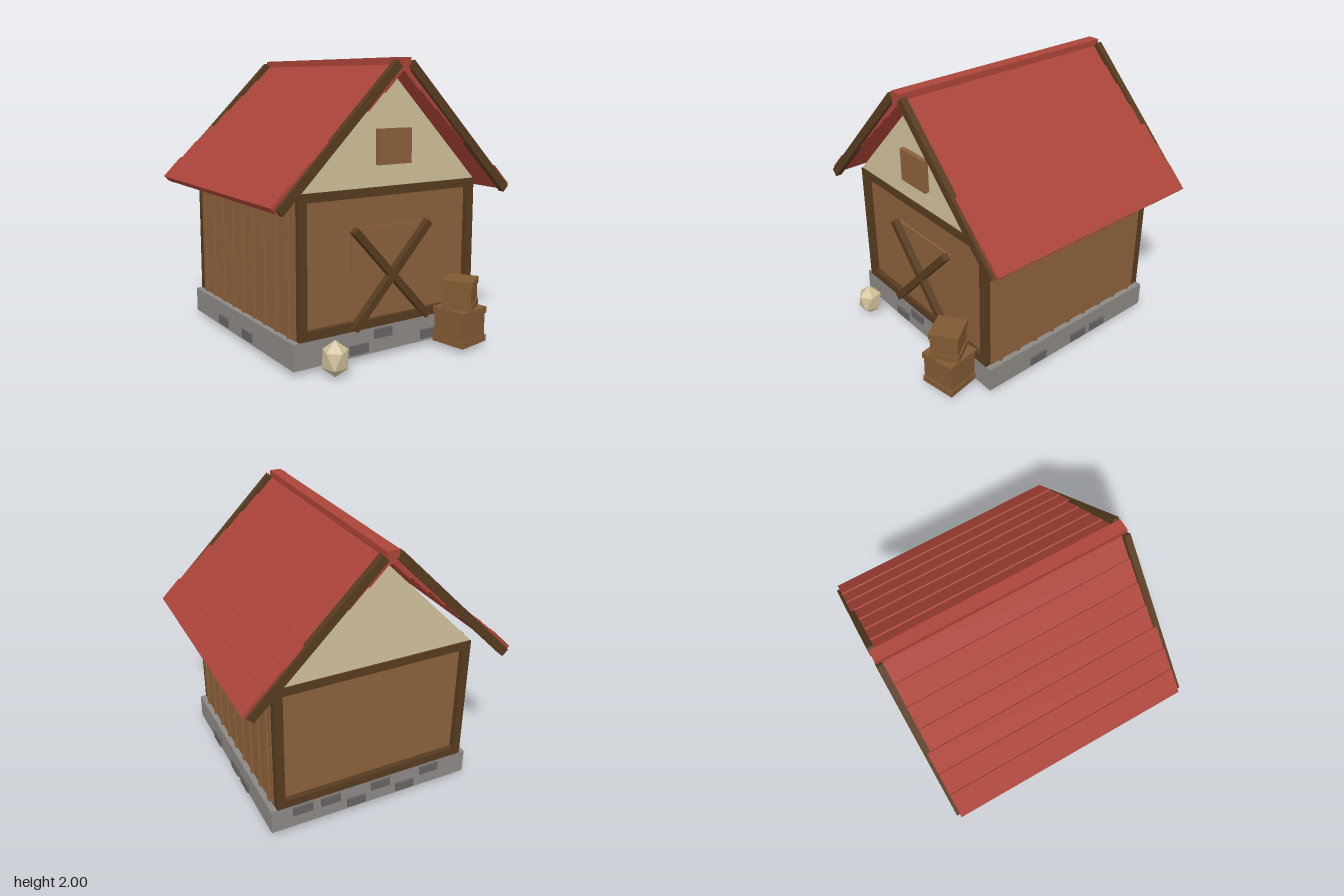
import * as THREE from 'three';

const mat = (name, color) => Object.assign(new THREE.MeshStandardMaterial({ color }), { name });

export function createModel() {
  const model = new THREE.Group();
  model.name = 'barn';
  const wood = mat('wall wood', 0x8b603a);
  const timber = mat('dark timber', 0x573b20);
  const red = mat('roof red', 0xab4439);
  const cream = mat('cream', 0xd0c09b);
  const grey = mat('stone grey', 0x8c8884);
  const darkGrey = mat('dark stone', 0x686363);
  const crateWood = mat('crate wood', 0x805933);
  const ZC = -0.08; // middle of the building along z

  const add = (name, geo, material, x = 0, y = 0, z = 0, parent = model) => {
    const m = new THREE.Mesh(geo, material);
    m.name = name;
    m.position.set(x, y, z);
    parent.add(m);
    return m;
  };
  // box given by its size and centre
  const box = (name, material, w, h, d, x, y, z, parent) =>
    add(name, new THREE.BoxGeometry(w, h, d), material, x, y, z, parent);

  // foundation with scattered blocks: [position along the side, upper row?]
  box('foundation', grey, 1.54, 0.18, 1.54, 0, 0.125, ZC);
  const rowY = (upper) => (upper ? 0.168 : 0.088);
  for (const [x, up] of [[-0.27, 0], [-0.073, 1], [0.33, 0]])
    box('frontStone', darkGrey, 0.145, 0.065, 0.03, x, rowY(up), 0.69);
  for (const [x, up] of [[0.54, 1], [0.33, 1], [0.13, 0], [-0.06, 1], [-0.26, 0], [-0.46, 1]])
    box('backStone', darkGrey, 0.145, 0.065, 0.03, x, rowY(up), -0.85);
  for (const z of [0.247, -0.15, -0.35])
    box('sideStone', darkGrey, 0.03, 0.065, 0.145, 0.77, rowY(0), z);
  for (const z of [-0.33, 0.05])
    box('sideStone', darkGrey, 0.03, 0.065, 0.145, -0.77, rowY(0), z);

  // walls, side cladding and battens
  box('walls', wood, 1.43, 0.95, 1.46, 0, 0.69, ZC);
  for (const s of [-1, 1]) {
    box('sideCladding', wood, 0.03, 0.95, 1.435, s * 0.714, 0.69, -0.0675);
    for (let i = -4; i <= 4; i++)
      box('batten', wood, 0.03, 0.95, 0.027, s * 0.727, 0.69, ZC + i * 0.161);
  }

  // timber frame on the front and back
  for (const z of [0.66, -0.82]) {
    for (const s of [-1, 1]) box('cornerPost', timber, 0.06, 0.95, 0.06, s * 0.695, 0.69, z);
    box('topBeam', timber, 1.33, 0.06, 0.06, 0, 1.135, z);
    box('bottomBeam', timber, 1.33, 0.06, 0.06, 0, 0.245, z);
  }

  // door with crossed braces
  box('door', wood, 0.63, 0.62, 0.02, 0, 0.585, 0.655);
  const braceAngle = Math.atan2(0.67, 0.62);
  for (const s of [-1, 1])
    box('doorBrace', timber, 0.913, 0.05, 0.05, 0, 0.56, 0.69 + s * 0.001).rotation.z = s * braceAngle;

  // attic prism and hatch
  const tri = new THREE.Shape([[-0.725, 1.165], [0.725, 1.165], [0, 1.9]].map((p) => new THREE.Vector2(...p)));
  add('attic', new THREE.ExtrudeGeometry(tri, { depth: 1.52, bevelEnabled: false }), cream, 0, 0, -0.84);
  box('atticHatch', wood, 0.27, 0.235, 0.05, 0, 1.428, 0.69);

  // roof boards, each row stepping out a little further down the slope
  for (const s of [-1, 1]) {
    for (let k = 0; k < 7; k++)
      box('roofBoard', red, 0.2, 0.056, 1.745, s * (0.88 - 0.132 * k), 1.168 + 0.117 * k, -0.083)
        .rotation.z = -s * Math.PI / 4;
    for (const z of [0.792, -0.955])
      box('bargeBoard', timber, 1.24, 0.06, 0.045, s * 0.486, 1.524, z).rotation.z = -s * Math.PI / 4;
  }
  box('ridge', red, 0.088, 0.088, 1.78, 0, 1.956, -0.083);

  // crates with a raised band at top and bottom
  const crate = (name, size, h, x, y, z, turn) => {
    const g = new THREE.Group();
    g.name = name;
    g.position.set(x, y, z);
    g.rotation.y = turn;
    model.add(g);
    box('crateBody', crateWood, size, h - 0.004, size, 0, h / 2, 0, g);
    for (const by of [0.023, h - 0.023])
      box('crateBand', crateWood, size + 0.016, 0.046, size + 0.016, 0, by, 0, g);
  };
  crate('lowerCrate', 0.248, 0.25, 0.5, 0.035, 0.825, 0.18);
  crate('upperCrate', 0.195, 0.205, 0.498, 0.285, 0.828, 0.6);

  // faceted boulder, standing on a point
  const rock = new THREE.IcosahedronGeometry(0.123, 0);
  rock.rotateZ(Math.atan(2 / (1 + Math.sqrt(5))));
  rock.rotateY(Math.PI / 2);
  rock.scale(0.78, 1, 0.78);
  rock.computeVertexNormals();
  add('boulder', rock, cream, -0.545, 0.123, 0.825);

  return model;
}
